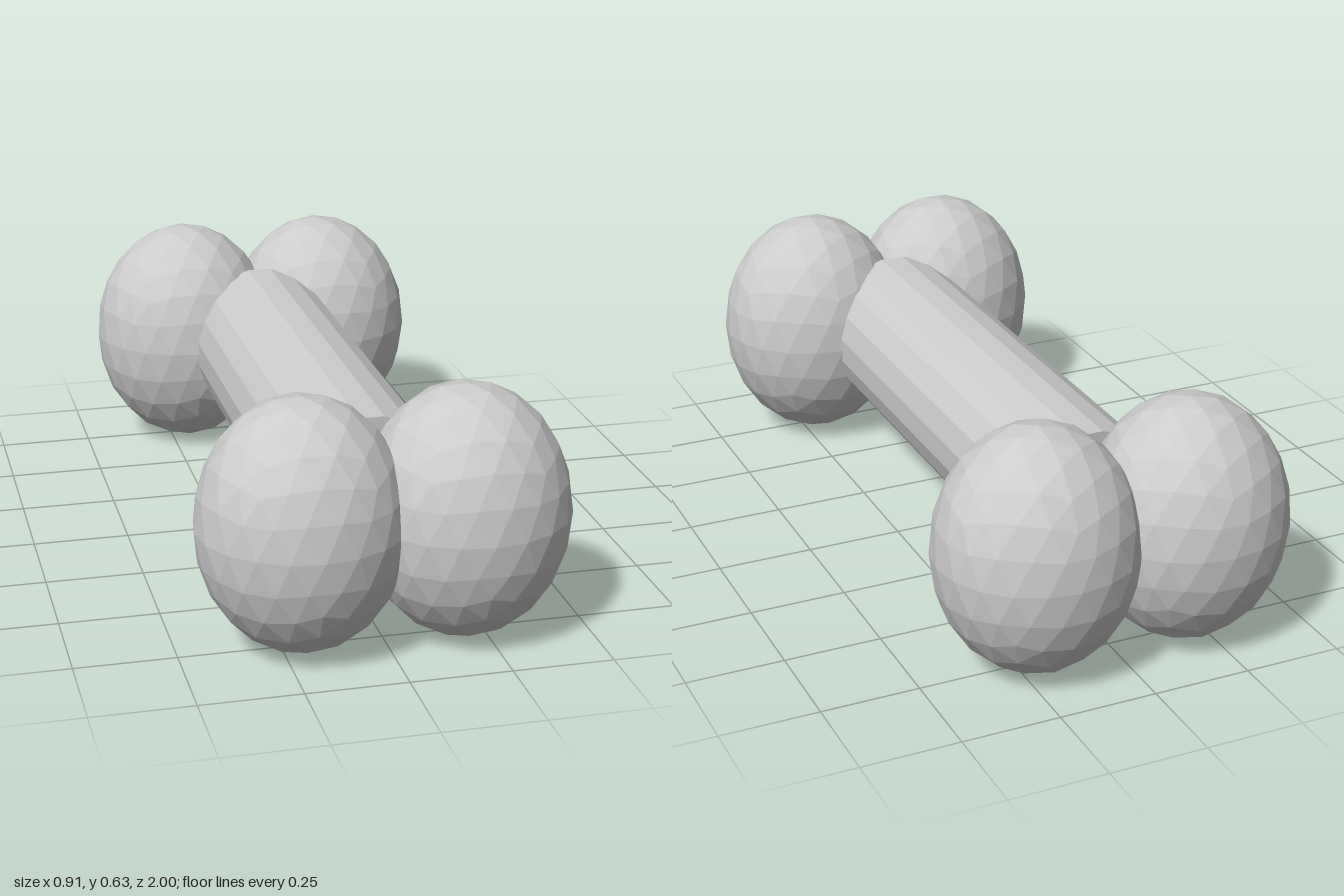
import * as THREE from 'three';

export function createModel() {
  const model = new THREE.Group();
  model.name = 'dumbbellBone';
  const material = new THREE.MeshStandardMaterial({ color: 0xcccccc, flatShading: true });
  const midY = 0.317;

  // Faceted shaft running front to back, with a flat facet on top
  const sides = 20;
  const shaftGeometry = new THREE.CylinderGeometry(0.207, 0.207, 1.27, sides);
  shaftGeometry.rotateY(Math.PI / sides).rotateX(Math.PI / 2);
  const shaft = new THREE.Mesh(shaftGeometry, material);
  shaft.name = 'shaft';
  shaft.position.y = midY;
  model.add(shaft);

  // Faceted knob: an icosphere turned so one corner points straight up
  const knobGeometry = new THREE.IcosahedronGeometry(1, 3);
  knobGeometry.rotateZ(Math.atan(2 / (1 + Math.sqrt(5)))).rotateY(-Math.PI / 2);
  knobGeometry.scale(0.257, 0.317, 0.244);

  // A pair of knobs at each end
  for (const [end, z] of [['front', 0.756], ['back', -0.756]]) {
    for (const [side, x] of [['Left', 0.2], ['Right', -0.2]]) {
      const knob = new THREE.Mesh(knobGeometry, material);
      knob.name = `${end}${side}Knob`;
      knob.position.set(x, midY, z);
      model.add(knob);
    }
  }
  return model;
}
